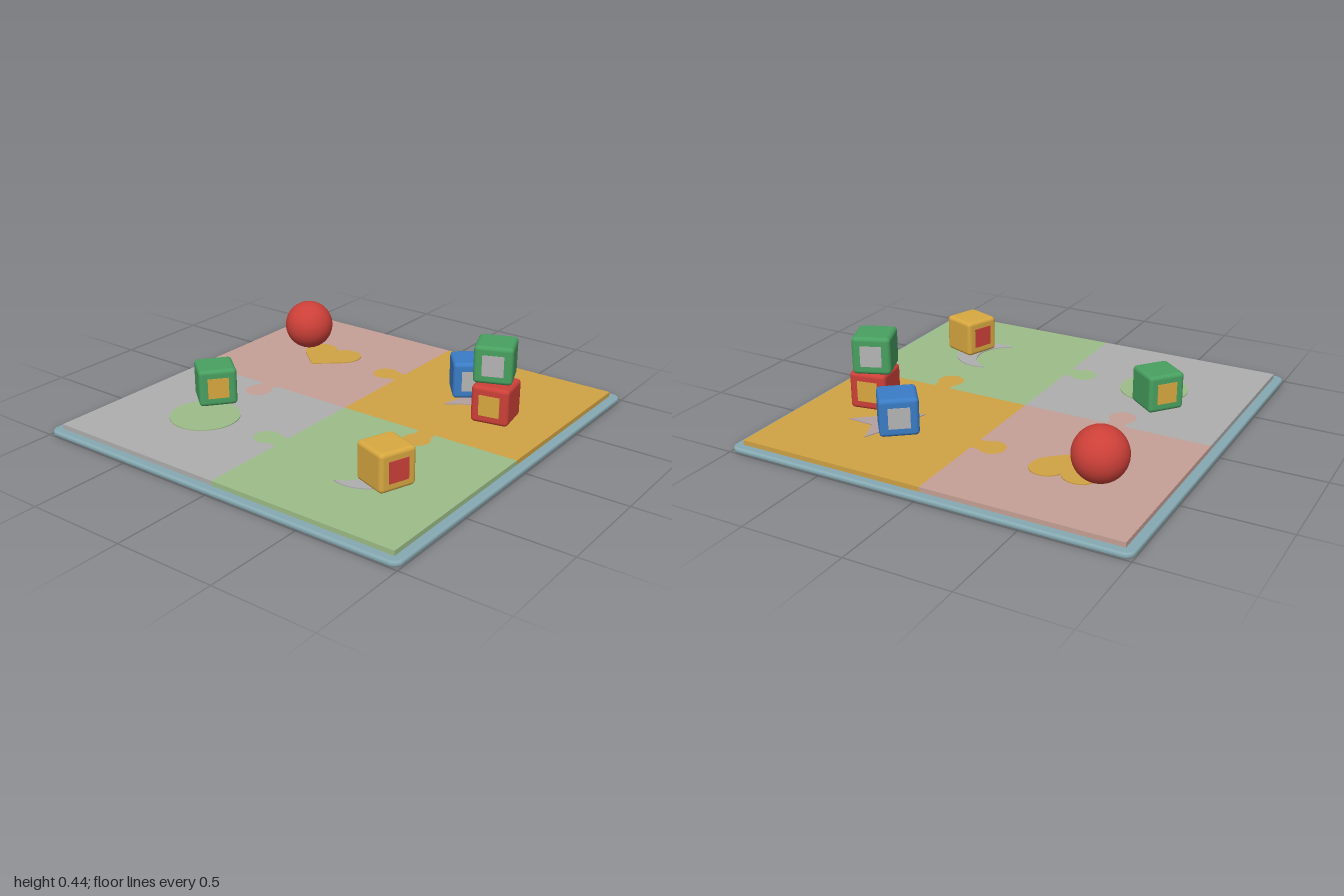
import * as THREE from 'three';
import { RoundedBoxGeometry } from 'three/addons/geometries/RoundedBoxGeometry.js';

const RED = 0xcc4038, GREEN = 0x48a060, BLUE = 0x3a7cc6, YELLOW = 0xd8a840, GREY = 0xb4b4b4;
const PINK = 0xc6a096, ORANGE = 0xcfa244, LEAF = 0x9dbd88, SILVER = 0xaeaeae, MAUVE = 0xb3a0a0, TEAL = 0x86a9b2;
const HALF = 0.955, MID = 0.48, TILE_TOP = 0.05, ICON_TOP = 0.055, BLOCK = 0.187;

function mesh(name, geometry, color) {
  const m = new THREE.Mesh(geometry, new THREE.MeshStandardMaterial({ color, roughness: 0.7 }));
  m.name = name;
  return m;
}

// Flat slab from a plan outline drawn in (x, z), spanning y0..y1
function slab(name, points, y0, y1, color, bevel = 0) {
  const shape = new THREE.Shape(points.map(([x, z]) => new THREE.Vector2(x, -z)));
  const geo = new THREE.ExtrudeGeometry(shape, {
    depth: y1 - y0 - 2 * bevel, bevelEnabled: bevel > 0, bevelSize: bevel,
    bevelThickness: bevel, bevelOffset: -bevel, bevelSegments: 4, curveSegments: 8,
  });
  geo.rotateX(-Math.PI / 2).translate(0, y0 + bevel, 0);
  return mesh(name, geo, color);
}

// Points on an arc, in plan coordinates
function arc(cx, cz, r, a0, a1, n = 32) {
  return Array.from({ length: n + 1 }, (_, i) => {
    const a = a0 + (a1 - a0) * i / n;
    return [cx + r * Math.cos(a), cz + r * Math.sin(a)];
  });
}

// Jigsaw seam along one axis from the middle (0) outwards, with a round knob.
// Pairs are [distance along the seam, bulge].
function seam(sign) {
  const neck = 0.045, r = 0.066, c = 0.088;
  const start = Math.asin(neck / r);
  const knob = arc(0, 0, r, Math.PI + start, 3 * Math.PI - start, 20)
    .map(([u, v]) => [MID + v, c + u]);
  const line = [[0, 0], [MID - neck, 0], ...knob, [MID + neck, 0], [HALF, 0]];
  return line.map(([d, b]) => [sign * d, b]);
}

// Rounded square plan outline
function roundedSquare(h, r) {
  return [[1, 1], [-1, 1], [-1, -1], [1, -1]].flatMap(([sx, sz], i) =>
    arc(sx * (h - r), sz * (h - r), r, i * Math.PI / 2, (i + 1) * Math.PI / 2, 8));
}

function makeMat() {
  const mat = new THREE.Group();
  mat.name = 'playMat';
  mat.add(slab('matBase', roundedSquare(1, 0.045), 0, 0.027, TEAL, 0.011));

  // Four interlocking tiles sharing the seams
  const tiles = [['backLeftTile', -1, -1, PINK], ['backRightTile', 1, -1, ORANGE],
    ['frontLeftTile', -1, 1, SILVER], ['frontRightTile', 1, 1, LEAF]];
  for (const [name, sx, sz, color] of tiles) {
    const alongX = seam(sx).map(([d, b]) => [d, b]);
    const alongZ = seam(sz).map(([d, b]) => [-b, d]);
    const outline = [...alongX, [sx * HALF, sz * HALF], ...alongZ.slice(1).reverse()];
    mat.add(slab(name, outline, 0.02, TILE_TOP, color));
  }

  // Raised pictures, one per tile
  const icon = (name, pts, color) => mat.add(slab(name, pts, TILE_TOP - 0.002, ICON_TOP, color));

  const heart = new THREE.Shape();
  heart.moveTo(0, -0.09);
  heart.bezierCurveTo(0.03, -0.165, 0.165, -0.165, 0.165, -0.055);
  heart.bezierCurveTo(0.165, 0.02, 0.06, 0.07, 0, 0.135);
  heart.bezierCurveTo(-0.06, 0.07, -0.165, 0.02, -0.165, -0.055);
  heart.bezierCurveTo(-0.165, -0.165, -0.03, -0.165, 0, -0.09);
  icon('heart', heart.getPoints(12).slice(1).map(p => [p.x - MID, p.y - MID]), ORANGE);

  const star = Array.from({ length: 10 }, (_, i) => {
    const a = -Math.PI / 2 + i * Math.PI / 5, r = i % 2 ? 0.08 : 0.19;
    return [MID + r * Math.cos(a), -MID + r * Math.sin(a)];
  });
  icon('star', star, MAUVE);

  icon('disc', arc(-MID, MID, 0.17, 0, 2 * Math.PI, 48).slice(1), LEAF);

  const tip = Math.acos(-0.06 / 0.17), inner = Math.PI - tip;
  icon('crescent', [...arc(MID, MID, 0.17, -tip, tip),
    ...arc(MID - 0.12, MID, 0.17, inner, -inner).slice(1, -1)], SILVER);
  return mat;
}

// Soft block with a square panel on two opposite faces
function makeBlock(name, x, y, z, degrees, color, panelColor) {
  const block = new THREE.Group();
  block.name = name;
  block.add(mesh('cube', new RoundedBoxGeometry(BLOCK, BLOCK, BLOCK, 4, 0.02), color));
  for (const s of [-1, 1]) {
    const panel = mesh('panel', new THREE.BoxGeometry(0.008, 0.103, 0.103), panelColor);
    panel.position.x = s * (BLOCK / 2 - 0.001);
    block.add(panel);
  }
  block.position.set(x, y + BLOCK / 2, z);
  block.rotation.y = THREE.MathUtils.degToRad(degrees);
  return block;
}

export function createModel() {
  const model = new THREE.Group();
  model.name = 'playMatWithToys';
  model.add(makeMat());

  const ball = mesh('ball', new THREE.SphereGeometry(0.128, 40, 28), RED);
  ball.position.set(-0.653, 0.181, -0.545);
  model.add(ball);

  model.add(
    makeBlock('greenBlock', -0.567, 0.056, 0.305, -39, GREEN, YELLOW),
    makeBlock('yellowBlock', 0.61, 0.056, 0.52, -20, YELLOW, RED),
    makeBlock('blueBlock', 0.39, 0.056, -0.525, -52, BLUE, GREY),
    makeBlock('redBlock', 0.652, 0.056, -0.328, -80, RED, YELLOW),
    makeBlock('stackedGreenBlock', 0.63, 0.251, -0.347, -68, GREEN, GREY),
  );
  return model;
}
